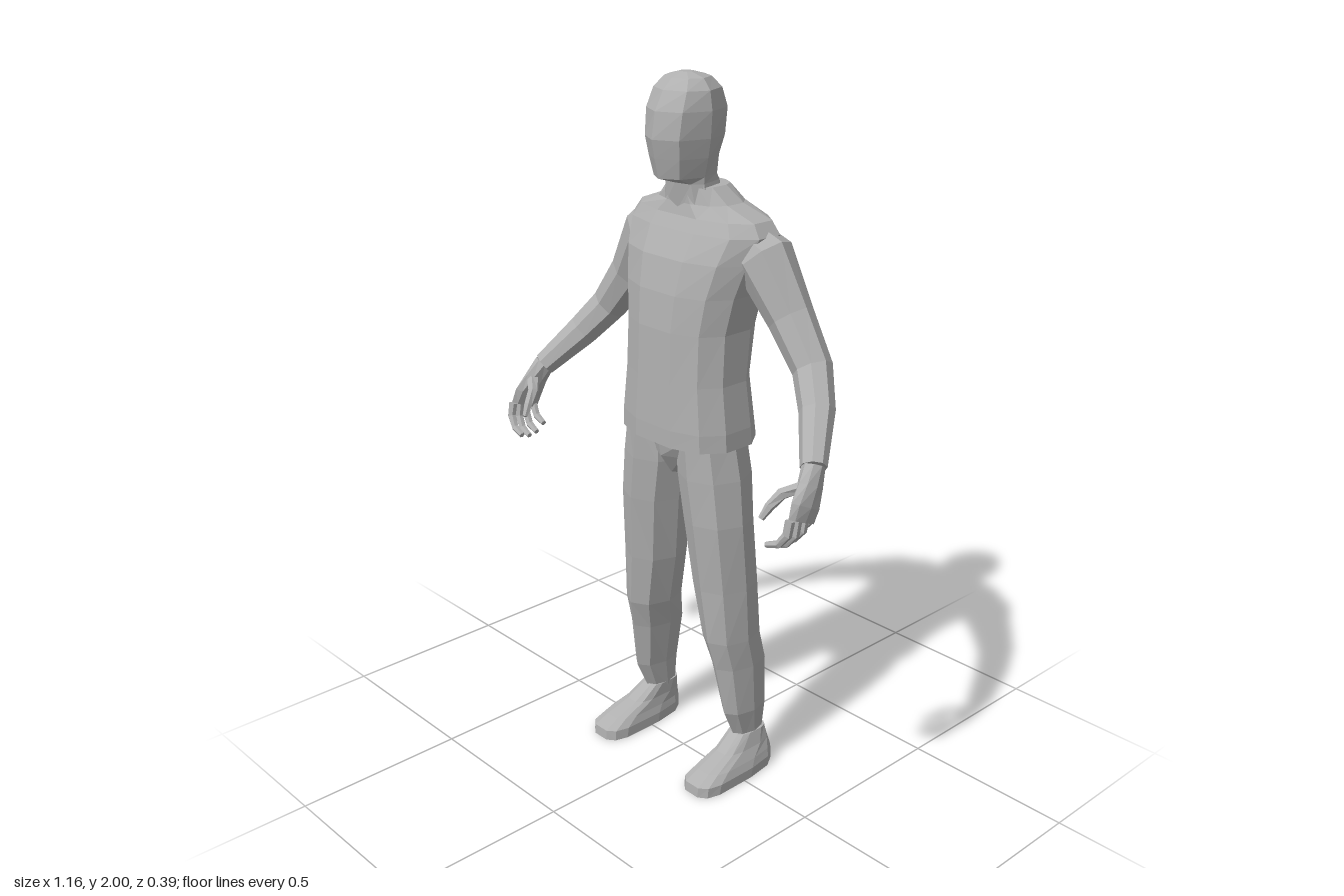
import * as THREE from 'three';

const grey = new THREE.MeshStandardMaterial({ color: 0xb0b0b0, flatShading: true });
grey.name = 'clay grey';

// Skin a list of closed point rings, with both ends capped; side = -1 mirrors it
function loft(name, rings, side = 1) {
  const pos = [];
  const n = rings[0].length;
  const tri = (a, b, c) => {
    for (const p of side > 0 ? [a, b, c] : [a, c, b]) pos.push(p.x * side, p.y, p.z);
  };
  for (let j = 0; j < rings.length - 1; j++) {
    for (let i = 0; i < n; i++) {
      const k = (i + 1) % n, lo = rings[j], hi = rings[j + 1];
      tri(lo[i], lo[k], hi[k]);
      tri(lo[i], hi[k], hi[i]);
    }
  }
  const first = rings[0], last = rings[rings.length - 1];
  for (let i = 1; i < n - 1; i++) {
    tri(first[0], first[i + 1], first[i]);
    tri(last[0], last[i], last[i + 1]);
  }
  const geo = new THREE.BufferGeometry();
  geo.setAttribute('position', new THREE.Float32BufferAttribute(pos, 3));
  geo.computeVertexNormals();
  const mesh = new THREE.Mesh(geo, grey);
  mesh.name = name;
  return mesh;
}

const pow = (v, p) => Math.sign(v) * Math.abs(v) ** p;

// Level ring spanning x0..x1 and back..front, widest at zMid
function levelRing(y, x0, x1, front, back, zMid, n = 8, p = 1, turn = 0) {
  const k = turn ? 1 / Math.cos(Math.PI / n) : 1;
  return Array.from({ length: n }, (_, i) => {
    const a = ((i + turn) / n) * Math.PI * 2;
    const s = pow(Math.sin(a) * k, p), c = pow(Math.cos(a) * k, p);
    return new THREE.Vector3((x0 + x1) / 2 + s * (x1 - x0) / 2, y,
      zMid + c * (c > 0 ? front - zMid : zMid - back));
  });
}

// Rings square to a path of [x, y, z, thickness, depth] stations
function pathRings(stations, n = 8) {
  const pts = stations.map(([x, y, z]) => new THREE.Vector3(x, y, z));
  return stations.map(([, , , ru, rv], j) => {
    const t = pts[Math.min(j + 1, pts.length - 1)].clone().sub(pts[Math.max(j - 1, 0)]).normalize();
    const v = new THREE.Vector3(0, 0, 1).addScaledVector(t, -t.z).normalize();
    const u = t.clone().cross(v);
    return Array.from({ length: n }, (_, i) => {
      const a = (i / n) * Math.PI * 2;
      return pts[j].clone().addScaledVector(u, Math.sin(a) * ru).addScaledVector(v, Math.cos(a) * rv);
    });
  });
}

export function createModel() {
  const model = new THREE.Group();
  model.name = 'figure';

  // Head and neck: y, half width, front, back
  const head = [
    [1.65, 0.085, 0.02, -0.13], [1.72, 0.068, 0.03, -0.115], [1.738, 0.07, 0.088, -0.1],
    [1.79, 0.083, 0.1, -0.097], [1.84, 0.092, 0.11, -0.118], [1.91, 0.097, 0.098, -0.125],
    [1.96, 0.089, 0.07, -0.105], [1.988, 0.065, 0.04, -0.075], [2.0, 0.02, 0.005, -0.03],
  ];
  model.add(loft('head', head.map(([y, w, f, b]) => levelRing(y, -w, w, f, b, -0.01))));

  // Jacket: y, half width, front, back, depth of the widest point
  const torso = [
    [1.02, 0.198, 0.115, -0.16, -0.02], [1.07, 0.196, 0.115, -0.152, -0.02],
    [1.2, 0.18, 0.11, -0.14, -0.02], [1.34, 0.178, 0.105, -0.165, -0.03],
    [1.44, 0.195, 0.095, -0.185, -0.045], [1.53, 0.22, 0.075, -0.2, -0.065],
    [1.6, 0.24, 0.042, -0.178, -0.085], [1.635, 0.215, 0.025, -0.163, -0.085],
    [1.668, 0.125, 0.018, -0.148, -0.07], [1.71, 0.078, 0.018, -0.128, -0.055],
  ];
  model.add(loft('jacket', torso.map(([y, w, f, b, m]) => levelRing(y, -w, w, f, b, m, 12, 0.8, 0.5))));

  // Hips tapering to the crotch
  const hips = [
    [0.91, 0.025, 0.045, -0.06], [0.97, 0.075, 0.085, -0.105], [1.05, 0.16, 0.1, -0.13],
  ];
  model.add(loft('hips', hips.map(([y, w, f, b]) => levelRing(y, -w, w, f, b, -0.01))));

  // Legs: y, inner x, outer x, front, back
  const leg = [
    [0.1, 0.155, 0.222, -0.03, -0.13], [0.2, 0.145, 0.235, 0.015, -0.14],
    [0.35, 0.115, 0.236, 0.038, -0.145], [0.44, 0.095, 0.235, 0.06, -0.125],
    [0.6, 0.06, 0.232, 0.07, -0.12], [0.8, 0.033, 0.225, 0.085, -0.11],
    [0.93, 0.01, 0.212, 0.09, -0.118], [1.05, 0.01, 0.19, 0.09, -0.11],
  ];
  // Feet: same columns, plus depth of the widest point
  const foot = [
    [0, 0.142, 0.262, 0.157, -0.143, 0.06], [0.03, 0.143, 0.262, 0.155, -0.143, 0.05],
    [0.052, 0.15, 0.253, 0.11, -0.142, 0.02], [0.08, 0.155, 0.238, 0.035, -0.138, -0.05],
    [0.12, 0.155, 0.225, -0.025, -0.132, -0.08],
  ];
  // Arm and palm stations
  const arm = [
    [0.15, 1.58, -0.08, 0.06, 0.07], [0.215, 1.54, -0.085, 0.082, 0.08],
    [0.31, 1.4, -0.09, 0.066, 0.06], [0.4, 1.285, -0.08, 0.056, 0.052],
    [0.465, 1.2, -0.03, 0.05, 0.046], [0.54, 1.095, 0.06, 0.037, 0.034],
  ];
  const palm = [
    [0.54, 1.1, 0.06, 0.03, 0.03], [0.553, 1.055, 0.085, 0.025, 0.04],
    [0.562, 1.01, 0.11, 0.02, 0.053], [0.564, 0.975, 0.125, 0.014, 0.05],
  ];
  const thumb = [
    [0.548, 1.06, 0.1, 0.016, 0.02], [0.505, 1.035, 0.135, 0.016, 0.016],
    [0.492, 1.005, 0.165, 0.013, 0.013], [0.483, 0.975, 0.185, 0.008, 0.008],
  ];

  for (const side of [1, -1]) {
    const label = side > 0 ? 'left' : 'right';
    model.add(loft(label + 'Leg', leg.map(([y, i, o, f, b]) => levelRing(y, i, o, f, b, (f + b) / 2)), side));
    model.add(loft(label + 'Foot', foot.map(([y, i, o, f, b, m]) => levelRing(y, i, o, f, b, m, 12, 0.65, 0.5)), side));
    model.add(loft(label + 'Arm', pathRings(arm), side));

    const hand = new THREE.Group();
    hand.name = label + 'Hand';
    hand.add(loft('palm', pathRings(palm), side));
    hand.add(loft('thumb', pathRings(thumb, 6), side));
    // Four curled fingers, little finger first
    for (let i = 0; i < 4; i++) {
      const z = 0.085 + i * 0.027, drop = [0.025, 0.005, 0, 0.008][i];
      hand.add(loft('finger' + (i + 1), pathRings([
        [0.564, 0.99, z, 0.013, 0.013], [0.563, 0.945 + drop, z + 0.008, 0.013, 0.012],
        [0.54, 0.915 + drop, z + 0.014, 0.011, 0.011], [0.502, 0.902 + drop, z + 0.018, 0.008, 0.008],
      ], 6), side));
    }
    model.add(hand);
  }
  return model;
}
